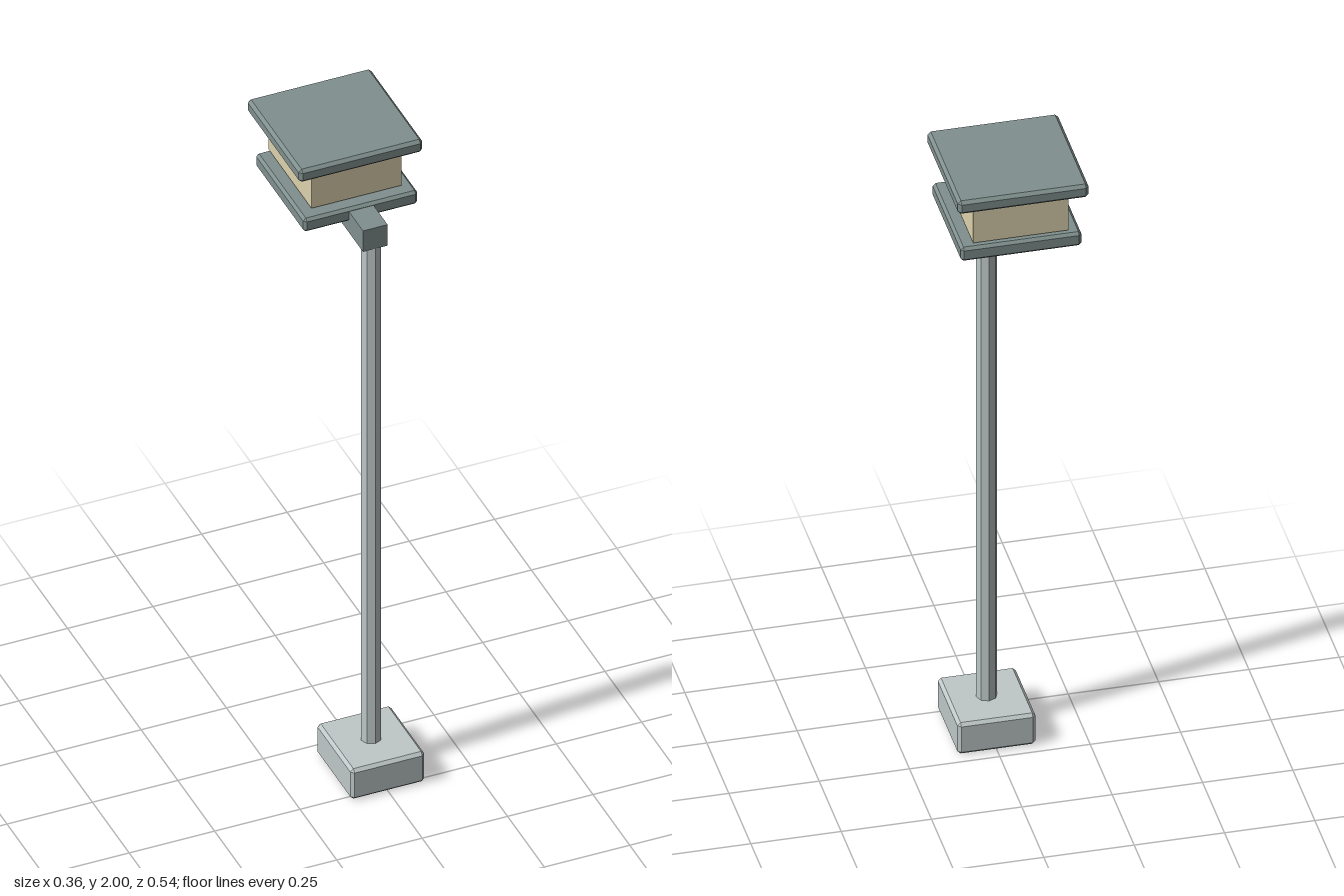
import * as THREE from 'three';
import { ConvexGeometry } from 'three/addons/geometries/ConvexGeometry.js';

const material = (color) => new THREE.MeshStandardMaterial({ color, flatShading: true });

// Box with every edge cut by a single flat chamfer
function chamferedBox(w, h, d, c) {
  const points = [];
  for (const sx of [-1, 1]) for (const sy of [-1, 1]) for (const sz of [-1, 1]) {
    const x = w / 2, y = h / 2, z = d / 2;
    points.push(
      new THREE.Vector3(sx * x, sy * (y - c), sz * (z - c)),
      new THREE.Vector3(sx * (x - c), sy * y, sz * (z - c)),
      new THREE.Vector3(sx * (x - c), sy * (y - c), sz * z));
  }
  return new ConvexGeometry(points);
}

export function createModel() {
  const group = new THREE.Group();
  const paleMetal = material(0xbfc8c8);
  const darkMetal = material(0x80908e);
  const warmGlass = material(0xddd2ae);

  function add(name, geometry, mat, y, z) {
    const mesh = new THREE.Mesh(geometry, mat);
    mesh.name = name;
    mesh.position.set(0, y, z);
    group.add(mesh);
  }

  // Footing and post
  add('base', chamferedBox(0.216, 0.1, 0.24, 0.009), paleMetal, 0.05, 0.151);
  add('post', new THREE.CylinderGeometry(0.029, 0.029, 1.68, 8), paleMetal, 0.93, 0.152);

  // Arm reaching back under the lantern
  add('arm', new THREE.BoxGeometry(0.072, 0.07, 0.3), darkMetal, 1.788, 0.031);

  // Lantern: tray, glowing block and roof
  add('lanternTray', chamferedBox(0.334, 0.044, 0.334, 0.008), darkMetal, 1.81, -0.081);
  add('lanternLight', new THREE.BoxGeometry(0.264, 0.12, 0.292), warmGlass, 1.9, -0.0925);
  add('lanternRoof', chamferedBox(0.362, 0.042, 0.362, 0.009), darkMetal, 1.979, -0.0925);

  return group;
}
